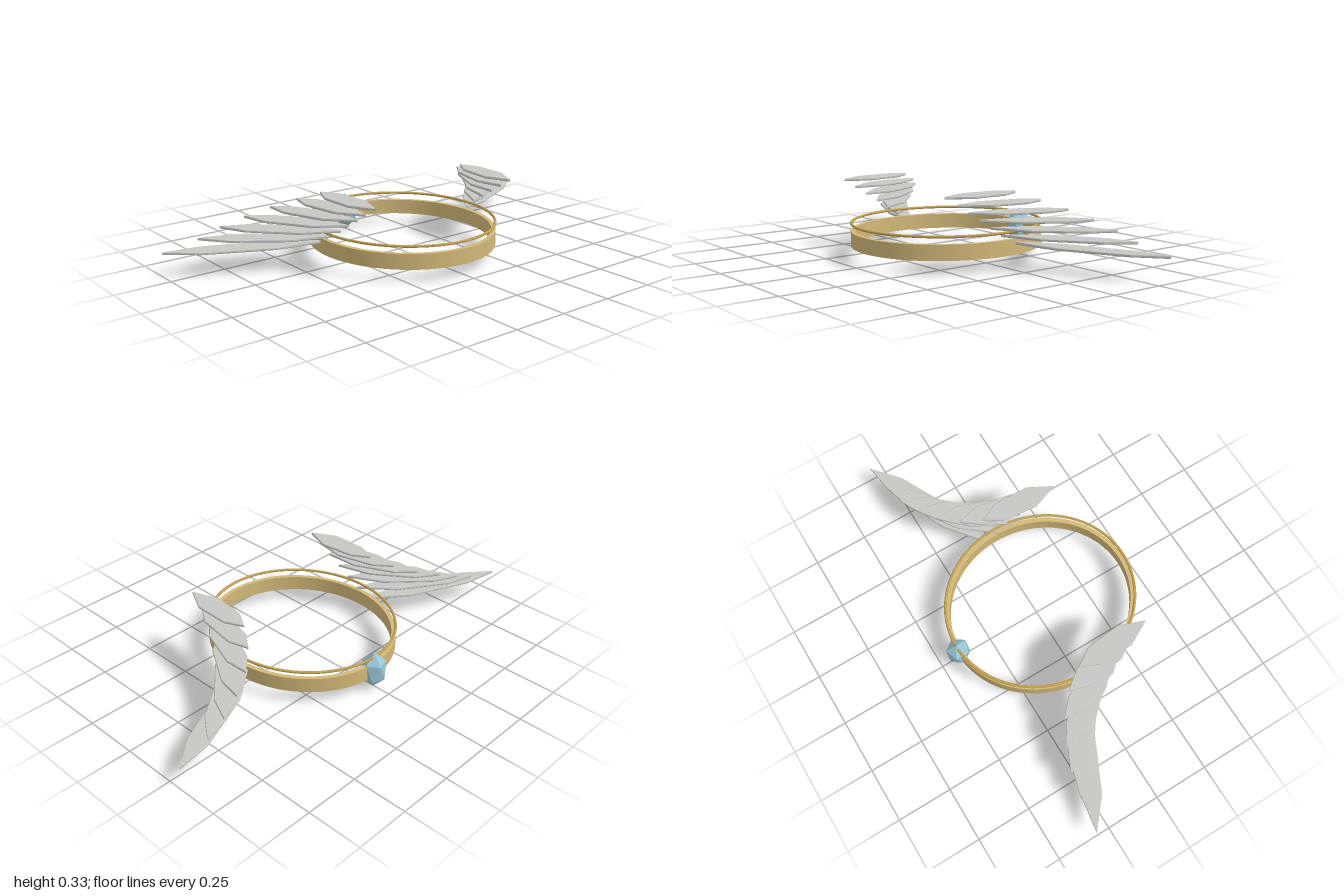
import * as THREE from 'three';
import { toCreasedNormals } from 'three/addons/utils/BufferGeometryUtils.js';
import { ConvexGeometry } from 'three/addons/geometries/ConvexGeometry.js';

const RING_Z = 0.02;      // centre of the circlet
const RING_X_RADIUS = 0.403;
const RING_Z_RADIUS = 0.438;

function material(name, color, flatShading = false) {
  const m = new THREE.MeshStandardMaterial({ color, flatShading });
  m.name = name;
  return m;
}

function addMesh(parent, name, geometry, mat) {
  const mesh = new THREE.Mesh(geometry, mat);
  mesh.name = name;
  parent.add(mesh);
  return mesh;
}

// Oval band with a rectangular section
function bandGeometry(wall, bottom, top) {
  const shape = new THREE.Shape();
  shape.absellipse(0, 0, RING_X_RADIUS, RING_Z_RADIUS, 0, Math.PI * 2);
  const hole = new THREE.Path();
  hole.absellipse(0, 0, RING_X_RADIUS - wall, RING_Z_RADIUS - wall, 0, Math.PI * 2);
  shape.holes.push(hole);
  const g = new THREE.ExtrudeGeometry(shape, { depth: top - bottom, bevelEnabled: false, curveSegments: 64 });
  g.rotateX(-Math.PI / 2);
  g.translate(0, bottom, RING_Z);
  return toCreasedNormals(g, 0.6);
}

// Thin pointed feather lying flat, from root [x, z] to tip [x, z]
function featherGeometry(root, tip, y) {
  const a = new THREE.Vector2(root[0], -root[1]);
  const b = new THREE.Vector2(tip[0], -tip[1]);
  const along = b.clone().sub(a);
  const across = new THREE.Vector2(-along.y, along.x).normalize();
  const outline = [[0, 0], [0.32, -0.052], [0.77, -0.045], [1, 0], [0.77, 0.045], [0.32, 0.052]];
  const shape = new THREE.Shape(outline.map(([t, w]) =>
    a.clone().addScaledVector(along, t).addScaledVector(across, w)));
  const bevel = 0.003;
  const g = new THREE.ExtrudeGeometry(shape, {
    depth: 0.006, bevelThickness: bevel, bevelSize: bevel, bevelOffset: -bevel, bevelSegments: 1,
  });
  g.rotateX(-Math.PI / 2);
  g.translate(0, y - 0.003, 0);
  return g;
}

// Five-sided faceted gem with staggered upper and lower rings
function gemGeometry() {
  const points = [new THREE.Vector3(0, 0.0875, 0), new THREE.Vector3(0, -0.0875, 0)];
  for (let i = 0; i < 5; i++) {
    const t = (i / 5) * Math.PI * 2;
    const x = Math.cos(t) * 0.051, z = Math.sin(t) * 0.0525;
    points.push(new THREE.Vector3(x, 0.039, z), new THREE.Vector3(-x, -0.039, -z));
  }
  return new ConvexGeometry(points);
}

export function createModel() {
  const model = new THREE.Group();
  model.name = 'wingedCirclet';
  const gold = material('gold', 0xd2b878);
  const darkGold = material('dark gold', 0xc2a052);
  const silver = material('silver', 0xc6c6c2, true);
  const iceBlue = material('ice blue', 0x9ac6d6, true);

  // Circlet band and the thin rim floating above it
  addMesh(model, 'band', bandGeometry(0.02, 0.055, 0.123), gold);
  const rimGeometry = new THREE.TorusGeometry(RING_X_RADIUS - 0.003, 0.006, 8, 96);
  rimGeometry.rotateX(Math.PI / 2);
  rimGeometry.scale(1, 1, RING_Z_RADIUS / RING_X_RADIUS);
  rimGeometry.translate(0, 0.155, RING_Z);
  addMesh(model, 'rim', rimGeometry, darkGold);

  // Gem at the back
  addMesh(model, 'gem', gemGeometry(), iceBlue).position.set(0, 0.0875, -0.411);

  // Fanned wings: feather tips [x, z] from lowest to highest
  const tips = [[1, -0.317], [0.843, -0.3], [0.745, -0.287], [0.645, -0.252],
    [0.545, -0.2], [0.458, -0.125], [0.397, -0.036]];
  for (const [side, name] of [[1, 'leftWing'], [-1, 'rightWing']]) {
    const wing = new THREE.Group();
    wing.name = name;
    tips.forEach(([x, z], i) => {
      const root = [side * (0.378 - (i > 5 ? 0.004 : 0)), -0.033 + i * 0.0588];
      addMesh(wing, `feather${i + 1}`, featherGeometry(root, [side * x, z], 0.104 + i * 0.0365), silver);
    });
    model.add(wing);
  }
  return model;
}
